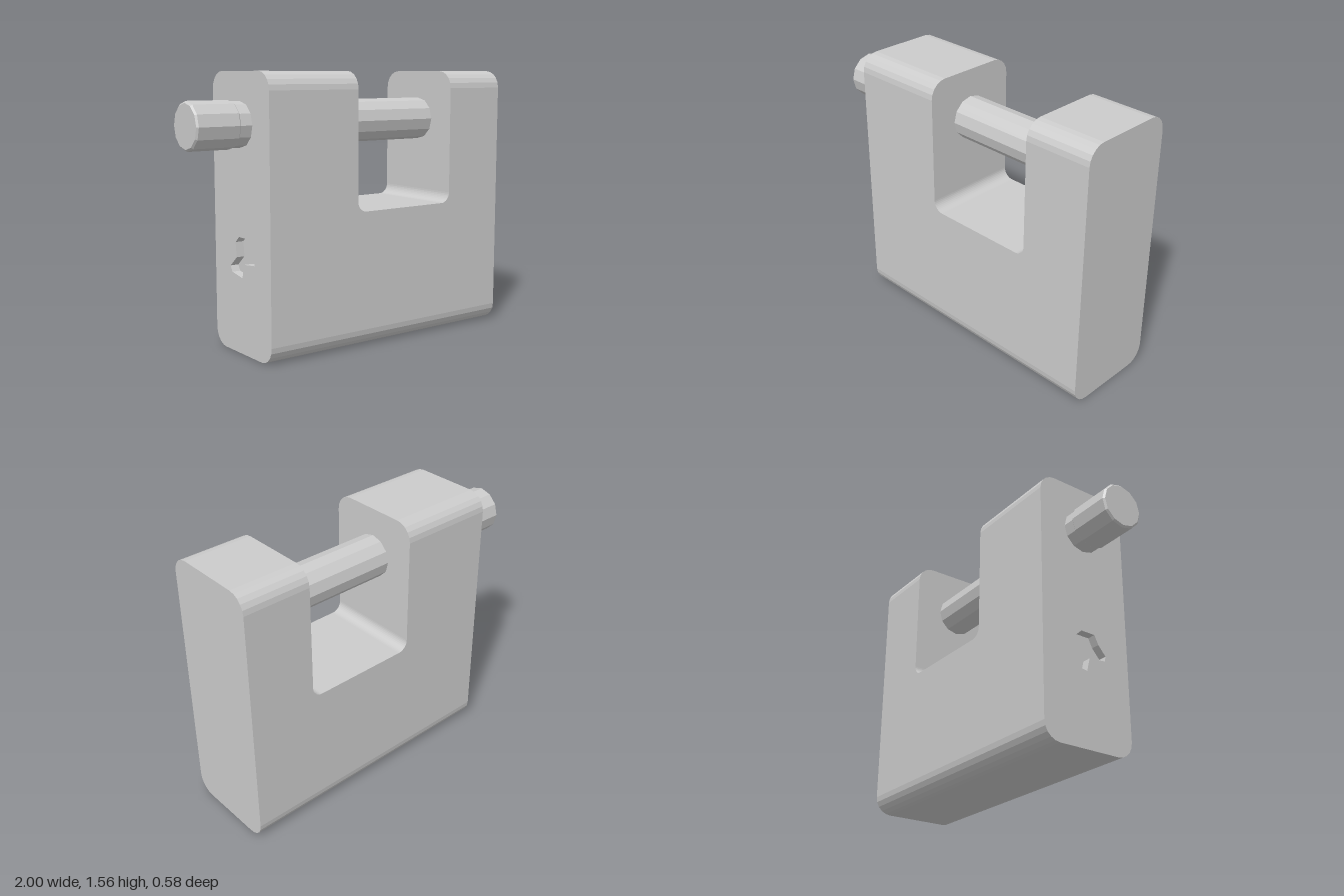
import * as THREE from 'three';

const LEFT = -0.67, RIGHT = 1, HEIGHT = 1.56, HALF = 0.29, ROUND = 0.1, ARC = 5;
const POCKET = 0.05; // keyhole depth
const PIN_Y = 1.275;

const material = new THREE.MeshStandardMaterial({ color: 0xcccccc, flatShading: true });

// Depth levels from back to front: z and how far the rounded edge drops there
const levels = [];
for (let i = 0; i <= ARC; i++) {
  const a = (i / ARC) * Math.PI / 2;
  levels.push({ z: HALF - ROUND + ROUND * Math.sin(a), inset: ROUND * (1 - Math.cos(a)) });
}
levels.unshift(...levels.map(l => ({ z: -l.z, inset: l.inset })).reverse());

function addMesh(group, name, geometry) {
  const mesh = new THREE.Mesh(geometry, material);
  mesh.name = name;
  group.add(mesh);
  return mesh;
}

// U-shaped block: front outline extruded in steps, long edges rounded by the levels
function bodyGeometry() {
  const s = new THREE.Shape();
  const r = 0.06, x0 = -0.09, x1 = 0.6, floor = 0.78;
  s.moveTo(LEFT + POCKET, 0);
  s.lineTo(RIGHT, 0);
  s.lineTo(RIGHT, HEIGHT);
  s.lineTo(x1, HEIGHT);
  s.lineTo(x1, floor + r);
  s.absarc(x1 - r, floor + r, r, 0, -Math.PI / 2, true);
  s.lineTo(x0 + r, floor);
  s.absarc(x0 + r, floor + r, r, -Math.PI / 2, -Math.PI, true);
  s.lineTo(x0, HEIGHT);
  s.lineTo(LEFT + POCKET, HEIGHT);
  const steps = levels.length - 1;
  const geo = new THREE.ExtrudeGeometry(s, { depth: steps, steps, bevelEnabled: false, curveSegments: 5 });
  const p = geo.attributes.position;
  for (let i = 0; i < p.count; i++) {
    const { z, inset } = levels[Math.round(p.getZ(i))];
    const y = p.getY(i);
    if (y < 1e-4) p.setY(i, inset);
    else if (y > HEIGHT - 1e-4) p.setY(i, HEIGHT - inset);
    p.setZ(i, z);
  }
  geo.computeVertexNormals();
  return geo;
}

// End plate with the same rounded section, pierced by the zigzag keyhole
function endPlateGeometry() {
  const bottom = levels.map(l => new THREE.Vector2(l.z, l.inset));
  const top = levels.map(l => new THREE.Vector2(l.z, HEIGHT - l.inset)).reverse();
  const s = new THREE.Shape([...bottom, ...top]);
  const keyhole = [
    [-0.03, 0.118], [0.06, 0.117], [0.085, 0.065], [0.133, 0.01], [0.126, -0.02], [0.02, -0.03],
    [0, -0.108], [-0.107, -0.09], [-0.126, -0.057], [-0.058, 0], [-0.068, 0.084],
  ];
  s.holes.push(new THREE.Path(keyhole.map(([z, y]) => new THREE.Vector2(-z, 0.54 + y))));
  const geo = new THREE.ExtrudeGeometry(s, { depth: POCKET, bevelEnabled: false });
  return geo.rotateY(Math.PI / 2).translate(LEFT, 0, 0);
}

// Chamfered knob, turned around the pin axis
function knobGeometry() {
  const r = 0.132, c = 0.01, length = 0.265;
  const profile = [[0, 0], [r - c, 0], [r, c], [r, length - c], [r - c, length], [0, length]];
  return new THREE.LatheGeometry(profile.map(([x, y]) => new THREE.Vector2(x, y)), 12);
}

export function createModel() {
  const group = new THREE.Group();
  group.name = 'padlock';

  addMesh(group, 'body', bodyGeometry());
  addMesh(group, 'keyholePlate', endPlateGeometry());

  // Locking pin through both posts
  const pinStart = -0.74, pinEnd = 0.65;
  const pin = addMesh(group, 'lockingPin', new THREE.CylinderGeometry(0.125, 0.125, pinEnd - pinStart, 12));
  pin.rotation.z = -Math.PI / 2;
  pin.position.set((pinStart + pinEnd) / 2, PIN_Y, 0);

  const knob = addMesh(group, 'pinKnob', knobGeometry());
  knob.rotation.z = -Math.PI / 2;
  knob.position.set(-1, PIN_Y, 0);

  return group;
}
